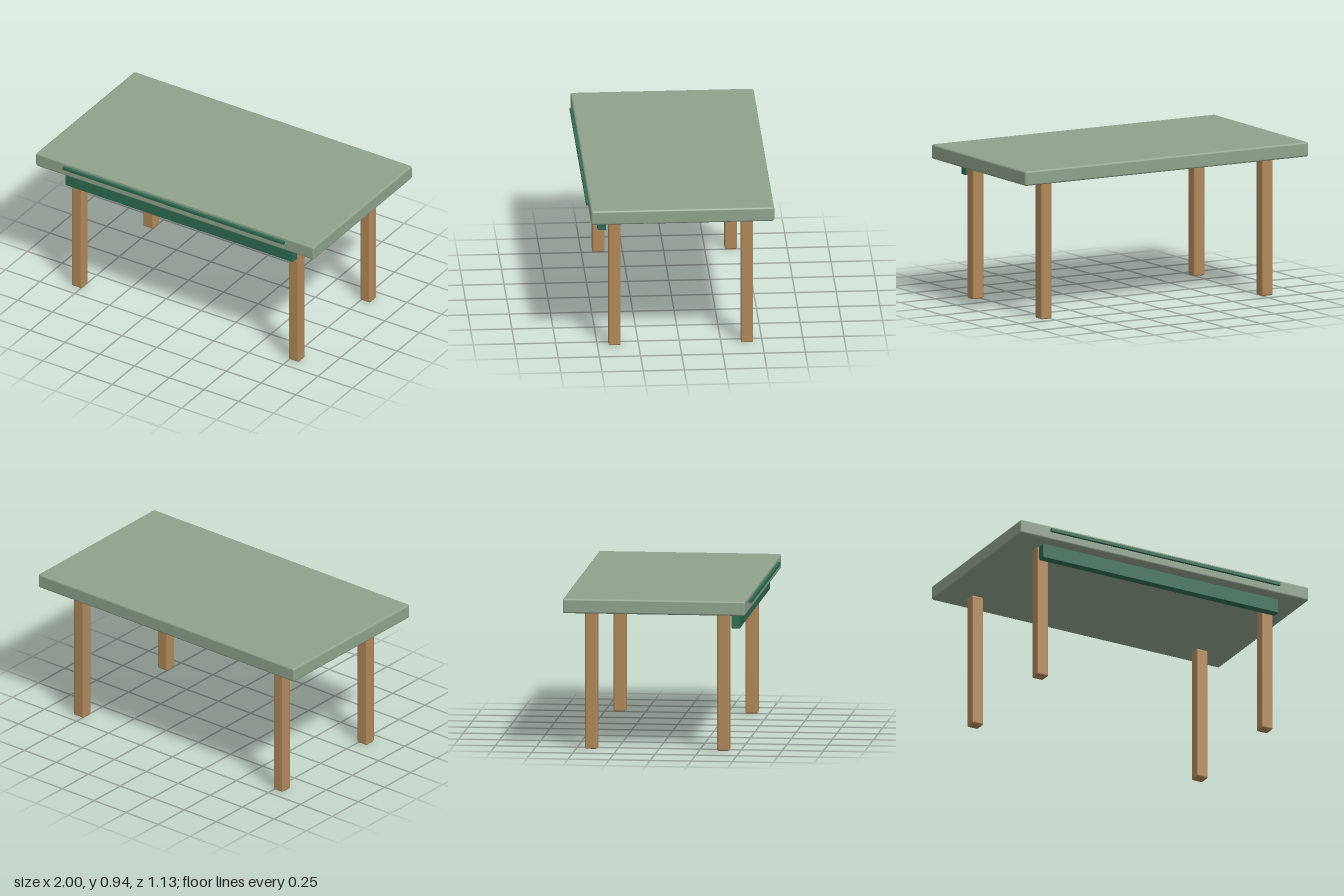
import * as THREE from 'three';
import { RoundedBoxGeometry } from 'three/addons/geometries/RoundedBoxGeometry.js';

const material = (name, color) => {
  const m = new THREE.MeshStandardMaterial({ color });
  m.name = name;
  return m;
};

export function createModel() {
  const sage = material('sage green', 0x8fa38d);
  const wood = material('warm wood', 0xb0885a);
  const green = material('deep green', 0x2f6b52);

  const table = new THREE.Group();
  table.name = 'table';

  // Softly rounded block, centred at the given position
  function block(name, size, position, radius, mat) {
    const mesh = new THREE.Mesh(new RoundedBoxGeometry(...size, 2, radius), mat);
    mesh.name = name;
    mesh.position.set(...position);
    table.add(mesh);
  }

  // Slab top
  block('tabletop', [2, 0.09, 1.112], [0, 0.9, -0.006], 0.012, sage);

  // Four square legs
  for (const [end, z] of [['front', 0.396], ['back', -0.408]]) {
    for (const [side, x] of [['Left', 0.78], ['Right', -0.78]]) {
      block(`${end}${side}Leg`, [0.075, 0.853, 0.075], [x, 0.4265, z], 0.01, wood);
    }
  }

  // Rail hanging in front of the legs
  block('frontRail', [1.636, 0.09, 0.052], [0, 0.797, 0.474], 0.004, green);

  // Slim strip along the front edge of the top
  const strip = new THREE.Mesh(new THREE.BoxGeometry(1.59, 0.019, 0.025), green);
  strip.name = 'edgeStrip';
  strip.position.set(0, 0.9145, 0.5545);
  table.add(strip);

  return table;
}
